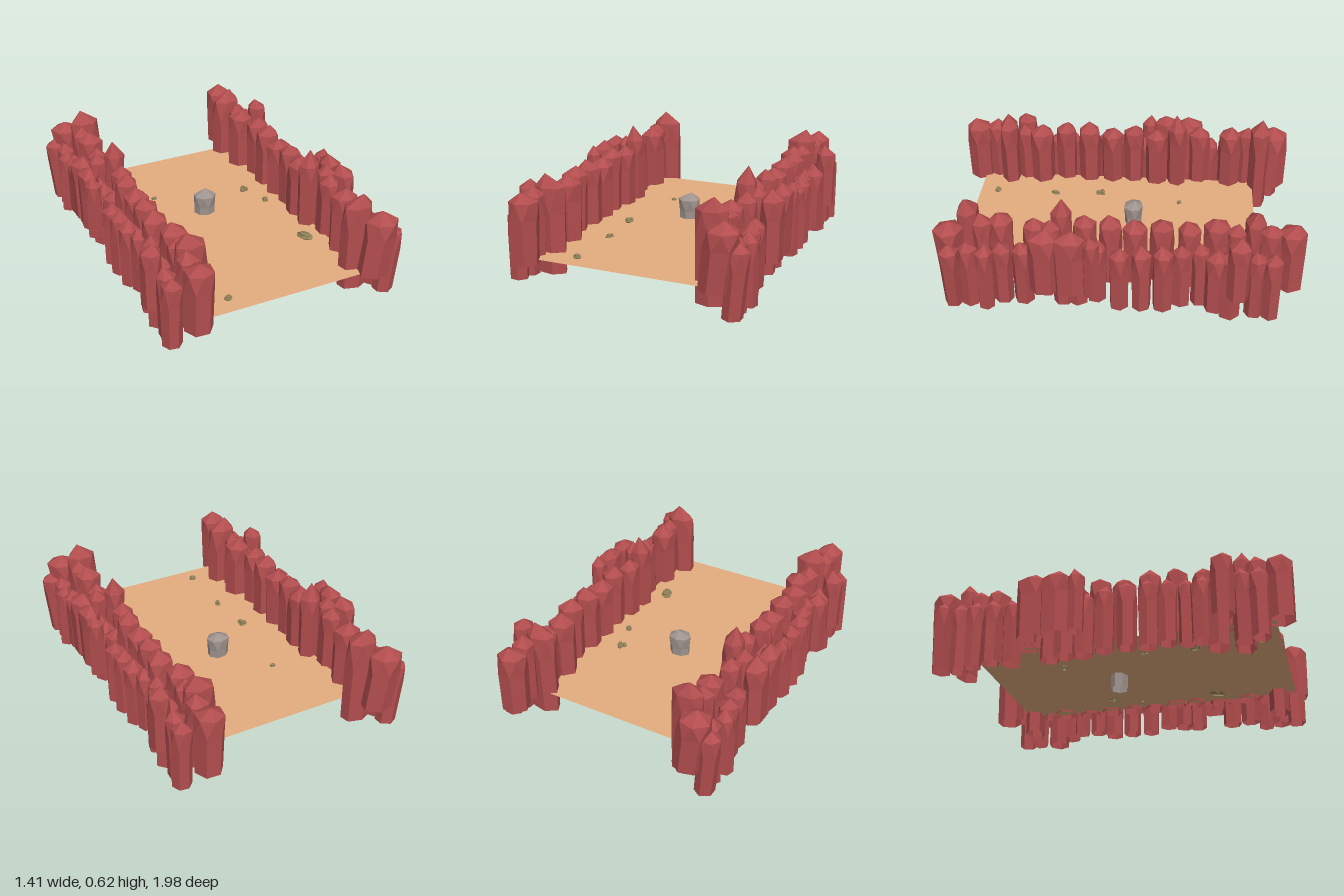
import * as THREE from 'three';

const paint = (name, color) => {
  const m = new THREE.MeshStandardMaterial({ color, side: THREE.DoubleSide });
  m.name = name;
  return m;
};

// Small seeded generator for uneven facets
let seed = 7;
const rnd = () => (seed = (seed * 16807) % 2147483647) / 2147483647;
const vary = (a) => 1 + (rnd() - 0.5) * 2 * a;

// Faceted hollow stone from rings [y, radius, twist], open below and closed by an apex
function stone(rings, apexY, sides, rough) {
  const pos = [];
  const tri = (...pts) => pts.forEach((p) => pos.push(p.x, p.y, p.z));
  const turn = rnd() * 6.28;
  const wobble = Array.from({ length: sides }, () => vary(rough));
  const loops = rings.map(([y, r, twist]) => wobble.map((w, k) => {
    const a = turn + ((k + twist) / sides) * Math.PI * 2;
    return new THREE.Vector3(Math.cos(a) * r * w, y, Math.sin(a) * r * w);
  }));
  const top = loops[loops.length - 1];
  const reach = rings[rings.length - 1][1] * 0.5;
  const apex = new THREE.Vector3((rnd() - 0.5) * reach, apexY, (rnd() - 0.5) * reach);
  for (let k = 0; k < sides; k++) {
    const n = (k + 1) % sides;
    for (let i = 0; i + 1 < loops.length; i++) {
      const a = loops[i], b = loops[i + 1];
      tri(a[n], a[k], b[k]);
      tri(a[n], b[k], b[n]);
    }
    tri(top[n], top[k], apex);
  }
  const g = new THREE.BufferGeometry();
  g.setAttribute('position', new THREE.Float32BufferAttribute(pos, 3));
  return g;
}

const finish = (g, mat, name) => {
  g.computeVertexNormals();
  const m = new THREE.Mesh(g, mat);
  m.name = name;
  return m;
};

// Rows of cliff columns: x, z, half width, half depth, optional lean
const INNER = [
  [-0.55, -0.88, 0.09, 0.085, -0.13], [-0.52, -0.71, 0.055, 0.055], [-0.5, -0.61, 0.073, 0.068],
  [-0.52, -0.43, 0.06, 0.065], [-0.55, -0.34, 0.055, 0.055], [-0.475, -0.17, 0.06, 0.065],
  [-0.5, -0.03, 0.065, 0.065], [-0.495, 0.1, 0.074, 0.07], [-0.5, 0.24, 0.07, 0.07],
  [-0.51, 0.385, 0.073, 0.065], [-0.465, 0.53, 0.074, 0.075], [-0.49, 0.63, 0.056, 0.056],
  [-0.515, 0.81, 0.06, 0.065], [-0.505, 0.92, 0.08, 0.08],
];
// Short columns near the wall ends, which reach further down
const END = [
  [-0.63, -0.87, 0.06, 0.055, -0.08], [-0.6, -0.78, 0.056, 0.054], [-0.63, -0.69, 0.05, 0.05],
  [-0.6, 0.74, 0.055, 0.055], [-0.61, 0.825, 0.055, 0.055],
];
const OUTER = [
  [-0.6, -0.6, 0.055, 0.055], [-0.585, -0.49, 0.06, 0.056], [-0.58, -0.28, 0.055, 0.055],
  [-0.58, -0.2, 0.065, 0.06], [-0.56, -0.1, 0.056, 0.056], [-0.61, 0.02, 0.055, 0.055],
  [-0.61, 0.14, 0.055, 0.055], [-0.605, 0.25, 0.06, 0.056], [-0.58, 0.35, 0.055, 0.055],
  [-0.56, 0.45, 0.05, 0.05], [-0.595, 0.53, 0.06, 0.06],
];
const FAR = [
  [-0.64, -0.37, 0.062, 0.082], [-0.65, -0.24, 0.058, 0.09],
  [-0.66, -0.12, 0.048, 0.05], [-0.64, 0.645, 0.056, 0.062],
];
// Broad buttresses, the tallest spire and the lowest footing
const BROAD = [[-0.47, -0.79, 0.09, 0.06], [-0.465, 0.725, 0.09, 0.06]];
const SPIRE = [[-0.47, -0.295, 0.06, 0.062]];
const FOOTING = [[-0.58, 0.61, 0.07, 0.065]];

function cliffWall(mat) {
  const wall = new THREE.Group();
  const row = (list, bottom, top, crown, spread, name) => list.forEach(([x, z, rx, rz, tilt = 0]) => {
    const yt = top * vary(0.025), yb = bottom * vary(spread);
    const h = yt - yb;
    const g = stone([
      [yb, 0.94, 0],
      [yb + h * 0.62, 1, 0],
      [yt - crown, 0.95, 0.5],
    ], yt, 6, 0.07);
    g.scale(rx, 1, rz);
    // Lean of each column about its middle
    const p = g.attributes.position;
    const lean = tilt + (rnd() - 0.5) * 0.03;
    for (let i = 0; i < p.count; i++) p.setX(i, p.getX(i) + lean * (p.getY(i) - (yt + yb) / 2));
    g.translate(x, 0, z);
    wall.add(finish(g, mat, name));
  });
  row(INNER, 0.15, 0.525, 0.05, 0.03, 'innerColumn');
  row(END, 0.018, 0.415, 0.05, 0.1, 'endColumn');
  row(OUTER, 0.05, 0.42, 0.05, 0.35, 'outerColumn');
  row(FAR, 0.15, 0.52, 0.05, 0.03, 'farColumn');
  row(BROAD, 0.045, 0.59, 0.07, 0.05, 'broadColumn');
  row(SPIRE, 0.15, 0.622, 0.09, 0.01, 'spireColumn');
  row(FOOTING, 0, 0.41, 0.05, 0, 'footingColumn');
  return wall;
}

// Pebbles: x, y, z, half width, half height, half depth, turn
const PEBBLES = [
  [-0.22, 0.162, -0.32, 0.02, 0.018, 0.018, 0],
  [0.3, 0.172, -0.175, 0.015, 0.014, 0.015, 0], [0.325, 0.172, -0.18, 0.016, 0.016, 0.016, 0],
  [0.315, 0.172, -0.2, 0.016, 0.014, 0.015, 0],
  [0.37, 0.172, -0.015, 0.02, 0.018, 0.02, 0],
  [-0.305, 0.172, 0.15, 0.017, 0.014, 0.016, 0], [-0.285, 0.172, 0.145, 0.016, 0.016, 0.015, 0],
  [-0.29, 0.172, 0.17, 0.018, 0.015, 0.016, 0],
  [-0.275, 0.168, 0.43, 0.017, 0.016, 0.03, -0.4],
  [0.378, 0.172, 0.44, 0.033, 0.019, 0.054, 0.5],
  [-0.28, 0.172, 0.785, 0.022, 0.016, 0.02, 0],
];

export function createModel() {
  const model = new THREE.Group();
  model.name = 'canyon';
  const red = paint('redRock', 0xb24d4e);
  const sand = paint('sand', 0xe4ac7e);
  const grey = paint('greyStone', 0x9f938e);
  const olive = paint('pebbleStone', 0x8f8059);

  // Sandy floor
  const floorGeo = new THREE.PlaneGeometry(0.98, 1.65).rotateX(-Math.PI / 2).translate(0, 0.165, 0.065);
  model.add(finish(floorGeo, sand, 'canyonFloor'));

  // Two walls, the second turned half way round
  const right = cliffWall(red);
  right.name = 'rightCliff';
  const left = right.clone();
  left.name = 'leftCliff';
  left.rotation.y = Math.PI;
  model.add(right, left);

  // Boulder in the middle
  const boulder = stone([
    [0.085, 0.88, 0], [0.21, 0.92, 0], [0.275, 1, 0.5],
  ], 0.312, 7, 0.08);
  boulder.scale(0.064, 1, 0.054).translate(-0.01, 0, -0.06);
  model.add(finish(boulder, grey, 'boulder'));

  // Scattered pebbles
  PEBBLES.forEach(([x, y, z, rx, ry, rz, turn]) => {
    const g = stone([[-0.9, 0.7, 0], [-0.1, 1, 0.5], [0.7, 0.7, 0]], 1, 6, 0.1);
    g.scale(rx, ry, rz).rotateY(turn).translate(x, y, z);
    model.add(finish(g, olive, 'pebble'));
  });
  return model;
}
